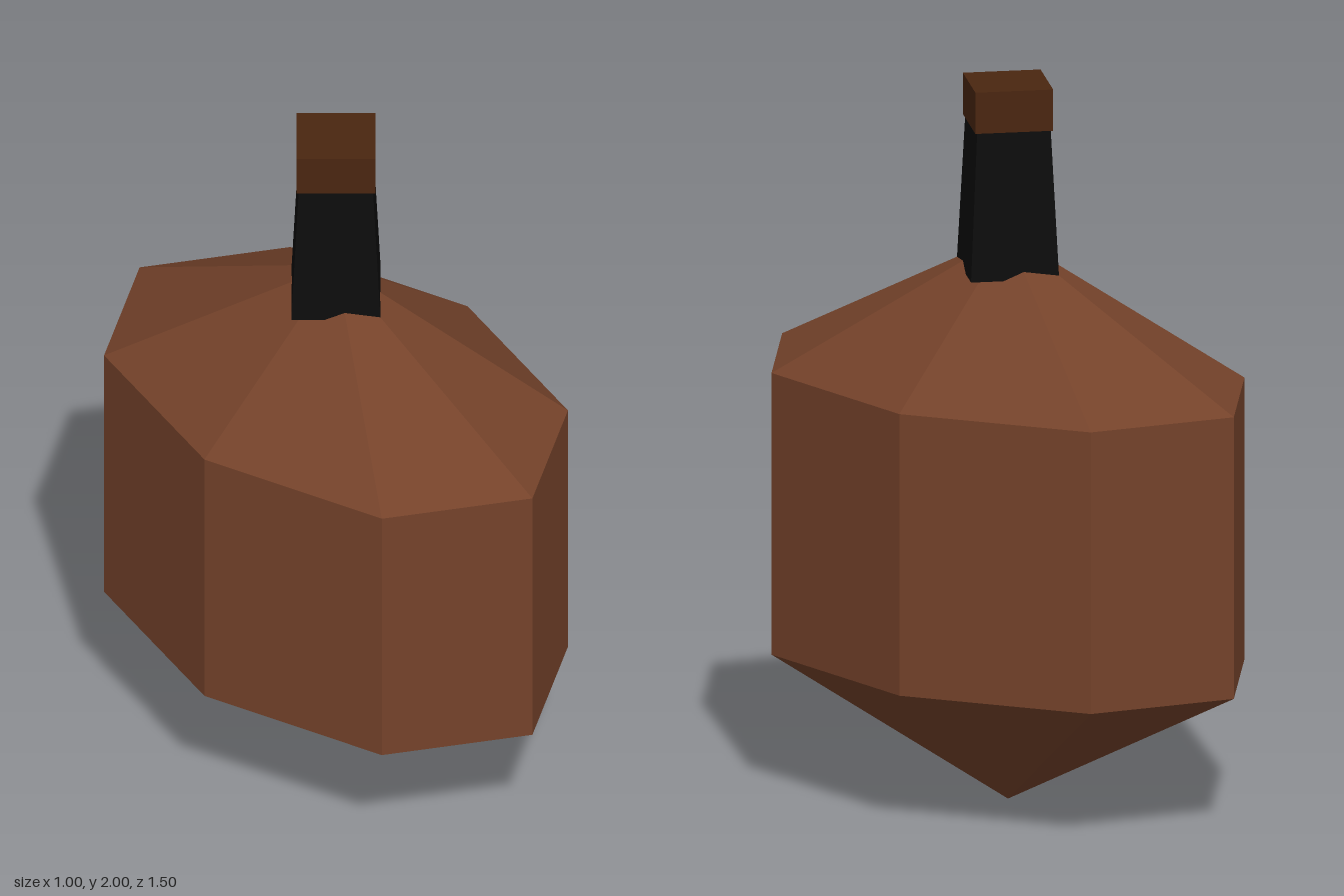
import * as THREE from 'three';

function material(name, color) {
  const m = new THREE.MeshStandardMaterial({ color });
  m.name = name;
  m.flatShading = true;
  return m;
}

export function createModel() {
  const group = new THREE.Group();
  group.name = 'bottle';
  const glass = material('brown glass', 0x74422a);
  const wrap = material('black wrap', 0x0c0c0c);
  const cork = material('dark brown cork', 0x4a2610);

  const add = (name, geometry, mat) => {
    const mesh = new THREE.Mesh(geometry, mat);
    mesh.name = name;
    group.add(mesh);
    return mesh;
  };

  // Tapered four-sided or straight section between two heights
  const section = (name, rTop, rBottom, y0, y1, mat) => {
    add(name, new THREE.CylinderGeometry(rTop, rBottom, y1 - y0, 4), mat)
      .position.y = (y0 + y1) / 2;
  };

  // Eight-sided body, pointed at both ends and deeper than wide
  const profile = [[0, 0], [0.5, 0.395], [0.5, 1.18], [0, 1.573]]
    .map(([r, y]) => new THREE.Vector2(r, y));
  const body = new THREE.LatheGeometry(profile, 8);
  body.scale(1, 1, 1.5);
  add('body', body, glass);

  // Diamond-section neck and stopper
  section('neck', 0.142, 0.17, 1.475, 1.885, wrap);
  section('stopper', 0.15, 0.15, 1.885, 2, cork);

  return group;
}
